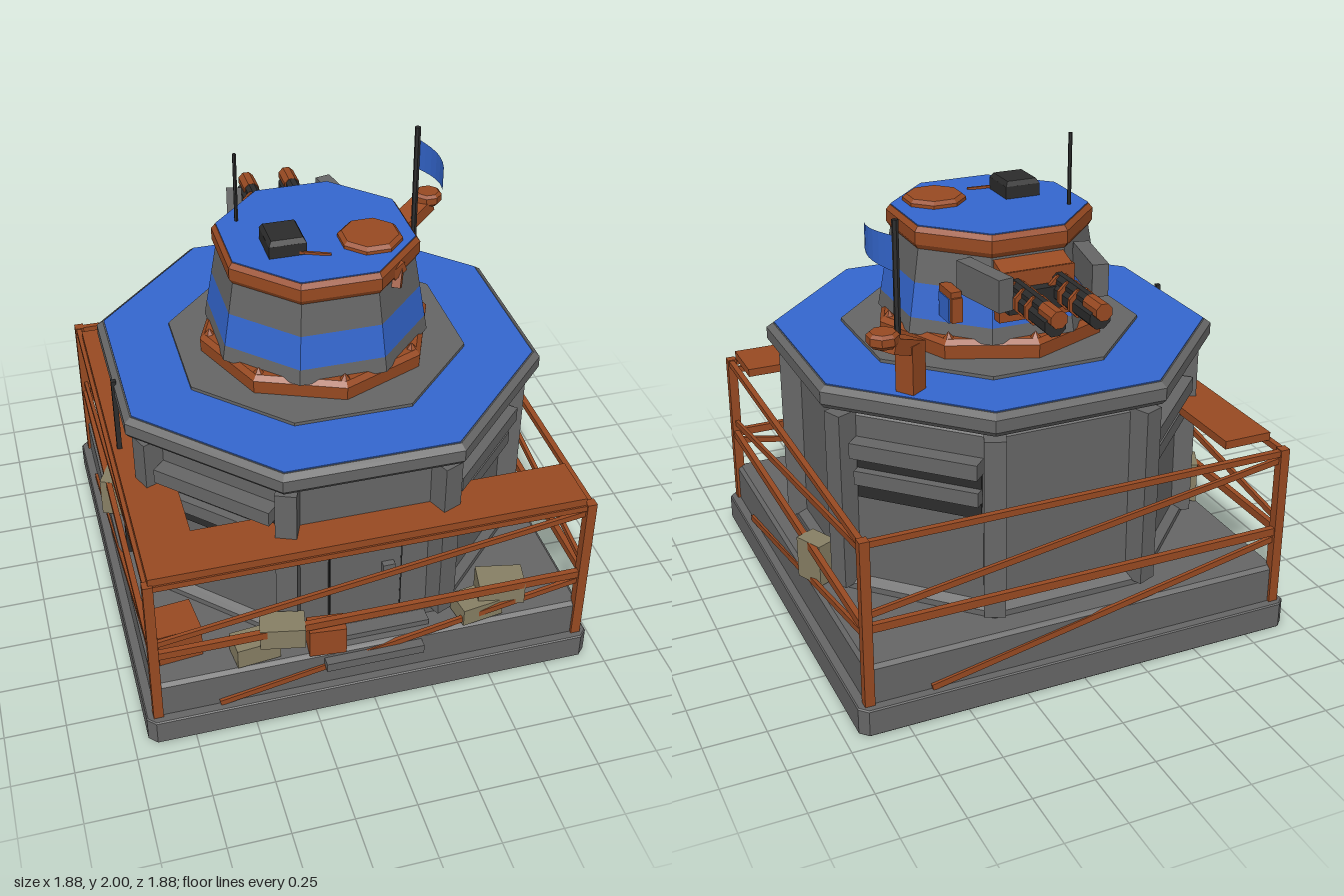
import * as THREE from 'three';

const mat = (name, color) => {
  const m = new THREE.MeshStandardMaterial({ color });
  m.name = name;
  return m;
};

export function createModel() {
  const root = new THREE.Group();
  root.name = 'bunkerTurret';
  const gray = mat('concreteGray', 0x666666);
  const orange = mat('rustOrange', 0x984a22);
  const blue = mat('paintBlue', 0x3467cf);
  const dark = mat('darkMetal', 0x2c2c2c);
  const khaki = mat('khaki', 0x877f64);
  const cloth = mat('flagBlue', 0x3467cf);
  cloth.side = THREE.DoubleSide;

  const add = (name, geo, m, x = 0, y = 0, z = 0, parent = root) => {
    const flat = geo.index ? geo.toNonIndexed() : geo;
    flat.computeVertexNormals();
    const mesh = new THREE.Mesh(flat, m);
    mesh.name = name;
    mesh.position.set(x, y, z);
    parent.add(mesh);
    return mesh;
  };
  const box = (name, m, w, h, d, x, y, z, ry = 0, parent = root) => {
    const b = add(name, new THREE.BoxGeometry(w, h, d), m, x, y, z, parent);
    b.rotation.y = ry;
    return b;
  };
  // Octagonal solid with flats facing the axes; profile holds [apothem, y]
  const oct = (name, m, profile, x = 0, z = 0) => {
    const pts = profile.map(([a, y]) => new THREE.Vector2(a / Math.cos(Math.PI / 8), y));
    return add(name, new THREE.LatheGeometry(pts, 8, Math.PI / 8), m, x, 0, z);
  };
  // Rectangular bar between two points, in the parent's own space
  const up = new THREE.Vector3(0, 1, 0);
  const beam = (name, m, a, b, w, h = w, parent = root) => {
    const p = new THREE.Vector3(...a), q = new THREE.Vector3(...b);
    const mesh = add(name, new THREE.BoxGeometry(w, h, p.distanceTo(q)), m, 0, 0, 0, parent);
    mesh.position.copy(p).lerp(q, 0.5);
    mesh.quaternion.setFromRotationMatrix(new THREE.Matrix4().lookAt(q, p, up));
  };
  // Square slab with clipped corners and bevelled rim
  const slab = (name, s, c, y0, y1, bevel) => {
    const r = s - bevel;
    const shape = new THREE.Shape([[r - c, -r], [r, c - r], [r, r - c], [r - c, r],
      [c - r, r], [-r, r - c], [-r, c - r], [c - r, -r]].map(p => new THREE.Vector2(...p)));
    const geo = new THREE.ExtrudeGeometry(shape, {
      depth: y1 - y0 - 2 * bevel, bevelEnabled: true, bevelSize: bevel, bevelThickness: bevel, bevelSegments: 1
    });
    geo.rotateX(-Math.PI / 2);
    add(name, geo, gray, 0, y0 + bevel, 0);
  };

  // Foundation
  slab('baseSlab', 0.94, 0.03, 0, 0.115, 0.005);
  slab('plinth', 0.9, 0.02, 0.1, 0.28, 0.015);
  box('frontPlate', gray, 0.41, 0.04, 0.05, 0, 0.232, 0.915);

  // Bunker body, corner pillars and roof
  oct('bunkerBody', gray, [[0, 0.28], [0.79, 0.28], [0.79, 0.305], [0.755, 0.33], [0.75, 1.04], [0.69, 1.1], [0, 1.1]]);
  for (let i = 0; i < 8; i++) {
    const a = Math.PI / 8 + i * Math.PI / 4;
    box('pillar', gray, 0.085, 0.76, 0.09, Math.sin(a) * 0.835, 0.68, Math.cos(a) * 0.835, a);
  }
  oct('roofSlab', gray, [[0, 1.1], [0.845, 1.1], [0.86, 1.12], [0.86, 1.17], [0.835, 1.19], [0, 1.19]]);
  oct('roofPaint', blue, [[0.5, 1.189], [0.83, 1.189], [0.83, 1.194], [0.5, 1.194]]);
  oct('turretPad', gray, [[0, 1.19], [0.572, 1.19], [0.572, 1.208], [0, 1.208]]);

  // Firing slots on the diagonal walls
  for (let i = 0; i < 4; i++) {
    const slot = new THREE.Group();
    slot.name = 'firingSlot';
    slot.rotation.y = Math.PI / 4 + i * Math.PI / 2;
    box('slotOpening', dark, 0.52, 0.2, 0.008, 0, 0.79, 0.755, 0, slot);
    box('slotLintel', gray, 0.53, 0.065, 0.08, 0, 0.918, 0.78, 0, slot);
    box('slotLouver', gray, 0.52, 0.06, 0.05, 0, 0.79, 0.77, 0, slot);
    root.add(slot);
  }

  // Front door
  box('door', gray, 0.29, 0.45, 0.03, 0, 0.51, 0.758);
  for (const s of [-1, 1]) box('doorJamb', dark, 0.006, 0.45, 0.034, s * 0.148, 0.51, 0.757);
  box('doorHead', dark, 0.302, 0.006, 0.034, 0, 0.738, 0.757);
  box('doorHandle', gray, 0.05, 0.045, 0.03, 0.09, 0.575, 0.785);
  box('doorStep', gray, 0.5, 0.03, 0.09, 0, 0.29, 0.81);

  // Railing: the same panel on all four sides
  for (let i = 0; i < 4; i++) {
    const side = new THREE.Group();
    side.name = 'railing';
    side.rotation.y = i * Math.PI / 2;
    box('railPost', orange, 0.04, 0.71, 0.04, -0.892, 0.465, 0.892, 0, side);
    box('topRail', orange, 1.79, 0.026, 0.024, 0, 0.803, 0.895, 0, side);
    box('midRail', orange, 1.79, 0.034, 0.024, 0, 0.447, 0.895, 0, side);
    beam('upperBrace', orange, [-0.89, 0.5, 0.89], [0.89, 0.77, 0.89], 0.016, 0.026, side);
    beam('lowerBrace', orange, [-0.64, 0.125, 0.905], [0.89, 0.41, 0.89], 0.016, 0.026, side);
    root.add(side);
  }

  // L-shaped walkway
  const walk = new THREE.Shape([[-0.89, -0.9], [0.87, -0.9], [0.87, -0.67], [-0.68, -0.67], [-0.68, 0.8], [-0.89, 0.8]]
    .map(p => new THREE.Vector2(...p)));
  const walkGeo = new THREE.ExtrudeGeometry(walk, { depth: 0.035, bevelEnabled: false });
  walkGeo.rotateX(-Math.PI / 2);
  add('walkway', walkGeo, orange, 0, 0.815, 0);

  // Crates and sacks on the plinth: [material, w, h, d, x, y, z, turn]
  [[orange, 0.18, 0.15, 0.17, -0.775, 0.355, 0.7, 0.1],
    [orange, 0.15, 0.13, 0.09, -0.19, 0.35, 0.87, -0.1],
    [khaki, 0.18, 0.09, 0.11, -0.475, 0.33, 0.83, 0.1],
    [khaki, 0.18, 0.095, 0.11, -0.37, 0.42, 0.865, -0.2],
    [khaki, 0.18, 0.08, 0.12, 0.46, 0.33, 0.84, 0.15],
    [khaki, 0.19, 0.1, 0.12, 0.56, 0.4, 0.83, -0.2],
    [khaki, 0.09, 0.18, 0.13, 0.865, 0.375, -0.22, 0.45],
    [khaki, 0.09, 0.18, 0.13, -0.865, 0.375, -0.22, -0.45]
  ].forEach(([m, ...v]) => box(m === khaki ? 'sandbag' : 'crate', m, ...v));

  // Wall pipe with brackets
  box('wallPipe', dark, 0.02, 0.91, 0.02, -0.86, 0.735, 0.09);
  for (const y of [0.55, 0.71, 1.09]) box('pipeBracket', dark, 0.13, 0.018, 0.018, -0.8, y, 0.09);

  // Turret: the ring is turned so its corners meet the middle of the flats
  oct('turretRing', orange, [[0, 1.2], [0.445, 1.2], [0.448, 1.265], [0.43, 1.285], [0, 1.285]]).rotation.y = Math.PI / 8;
  for (let i = 0; i < 8; i++) {
    const a = i * Math.PI / 4;
    const bolt = add('ringBolt', new THREE.ConeGeometry(0.024, 0.03, 6), orange, Math.sin(a) * 0.445, 1.296, Math.cos(a) * 0.445);
    bolt.rotation.y = a;
  }
  const w = y => 0.425 - (y - 1.28) * 0.16;
  [['turretSkirt', gray, 1.27, 1.335], ['turretBand', blue, 1.335, 1.475], ['turretUpper', gray, 1.475, 1.62]]
    .forEach(([n, m, a, b]) => oct(n, m, [[w(a), a], [w(b), b]]));
  oct('turretCap', orange, [[0, 1.61], [0.375, 1.61], [0.387, 1.63], [0.387, 1.68], [0.372, 1.7], [0, 1.7]]);
  oct('capPaint', blue, [[0.37, 1.699], [0.37, 1.704], [0, 1.704]]);

  // Fittings on the cap
  box('sensorBox', dark, 0.15, 0.055, 0.165, -0.155, 1.728, 0.093);
  const lid = new THREE.CylinderGeometry(0.09, 0.106, 0.02, 4);
  lid.rotateY(Math.PI / 4).scale(1, 1, 1.1);
  add('sensorLid', lid, dark, -0.155, 1.765, 0.093);
  beam('capLever', orange, [-0.11, 1.715, 0.17], [0.01, 1.706, 0.205], 0.01);
  oct('hatch', orange, [[0, 1.7], [0.12, 1.7], [0.12, 1.718], [0.105, 1.732], [0, 1.732]], 0.19, 0.125);
  add('antenna', new THREE.CylinderGeometry(0.008, 0.008, 0.3, 6), dark, -0.285, 1.85, -0.15);
  beam('lampArm', orange, [0.265, 1.665, 0.265], [0.245, 1.575, 0.3], 0.04);
  beam('lampHead', orange, [0.22, 1.635, 0.295], [0.275, 1.66, 0.27], 0.045);

  // Rear gun mount with twin barrels and angled shields
  box('mantlet', orange, 0.32, 0.2, 0.1, 0, 1.47, -0.405);
  box('mantletHood', orange, 0.3, 0.03, 0.1, 0, 1.575, -0.4).rotation.x = -0.35;
  box('gunCradle', dark, 0.28, 0.09, 0.08, 0, 1.46, -0.46);
  for (const s of [-1, 1]) {
    const x = s * 0.092;
    const tube = (name, m, r, z0, z1, y) => {
      const g = new THREE.CylinderGeometry(r, r, z1 - z0, 8);
      g.rotateY(Math.PI / 8).rotateX(Math.PI / 2);
      add(name, g, m, x, y, (z0 + z1) / 2);
    };
    tube('barrel', dark, 0.046, -0.8, -0.4, 1.477);
    tube('upperBarrel', dark, 0.03, -0.75, -0.42, 1.515);
    tube('muzzle', orange, 0.036, -0.83, -0.72, 1.51);
    for (const z of [-0.65, -0.56, -0.48]) tube('barrelBand', orange, 0.06, z - 0.008, z + 0.008, 1.485);
    box('gunShield', gray, 0.065, 0.13, 0.28, s * 0.225, 1.54, -0.46, s * 0.2);
  }

  // Side sight: hooded blue pane on the turret flank
  box('sightHood', orange, 0.045, 0.03, 0.12, 0.305, 1.478, -0.315);
  box('sightBracket', orange, 0.045, 0.1, 0.02, 0.305, 1.42, -0.375);
  box('sightWindow', blue, 0.008, 0.1, 0.1, 0.328, 1.413, -0.312);

  // Flag
  add('flagPole', new THREE.CylinderGeometry(0.013, 0.013, 0.66, 6), dark, 0.582, 1.52, -0.47);
  const flag = new THREE.PlaneGeometry(0.24, 0.14, 6, 1);
  const fp = flag.attributes.position;
  for (let i = 0; i < fp.count; i++) {
    const t = fp.getX(i) / 0.24 + 0.5, side = Math.sign(fp.getY(i));
    fp.setXYZ(i, 0.59 + 0.04 * Math.sin(t * 2.4), 1.72 + side * (0.07 - 0.015 * t), -0.47 + 0.24 * t);
  }
  add('flag', flag, cloth);

  // Searchlight on the roof
  box('lightPost', orange, 0.085, 0.2, 0.08, 0.555, 1.29, -0.525, 0.6);
  beam('lightArm', orange, [0.53, 1.36, -0.5], [0.67, 1.42, -0.58], 0.095, 0.06);
  oct('lightHead', orange, [[0, 1.415], [0.045, 1.415], [0.058, 1.43], [0.058, 1.46], [0.045, 1.472], [0, 1.472]], 0.68, -0.58);

  return root;
}
